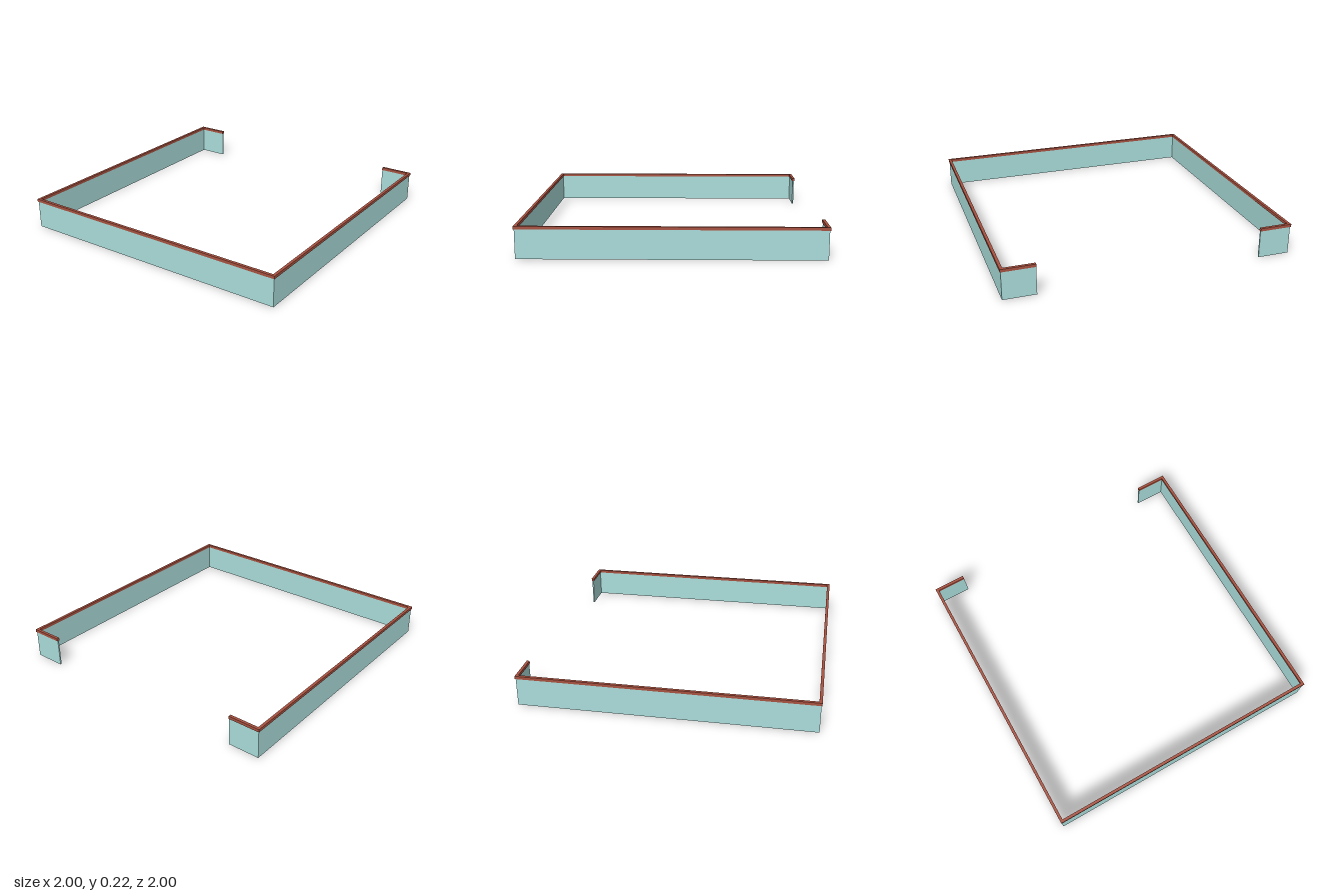
import * as THREE from 'three';

const RAIL = 0.02;      // rail width and height
const GLASS = 0.01;     // panel thickness
const TOP = 0.215;      // overall height
const LINE = 0.99;      // centre line of the square
const RETURN_END = 0.772; // inner end of the short back panels

export function createModel() {
  const model = new THREE.Group();
  const glassMaterial = new THREE.MeshStandardMaterial({ color: 0xaadddb });
  const railMaterial = new THREE.MeshStandardMaterial({ color: 0xa8513f });

  // C-shaped outline of the given thickness around the centre line, extruded upwards
  function cShape(name, thickness, y0, y1, material) {
    const o = LINE + thickness / 2;
    const i = LINE - thickness / 2;
    // shape y becomes -z, so the open back side is at +y
    const shape = new THREE.Shape([
      [-o, -o], [o, -o], [o, o], [RETURN_END, o], [RETURN_END, i], [i, i],
      [i, -i], [-i, -i], [-i, i], [-RETURN_END, i], [-RETURN_END, o], [-o, o],
    ].map(([x, y]) => new THREE.Vector2(x, y)));
    const geometry = new THREE.ExtrudeGeometry(shape, { depth: y1 - y0, bevelEnabled: false });
    geometry.rotateX(-Math.PI / 2).translate(0, y0, 0);
    const mesh = new THREE.Mesh(geometry, material);
    mesh.name = name;
    model.add(mesh);
  }

  // Glass panels, and the rail capping their top edge
  cShape('glassPanels', GLASS, 0, TOP - RAIL, glassMaterial);
  cShape('topRail', RAIL, TOP - RAIL, TOP, railMaterial);

  model.name = 'glassBalustrade';
  return model;
}
